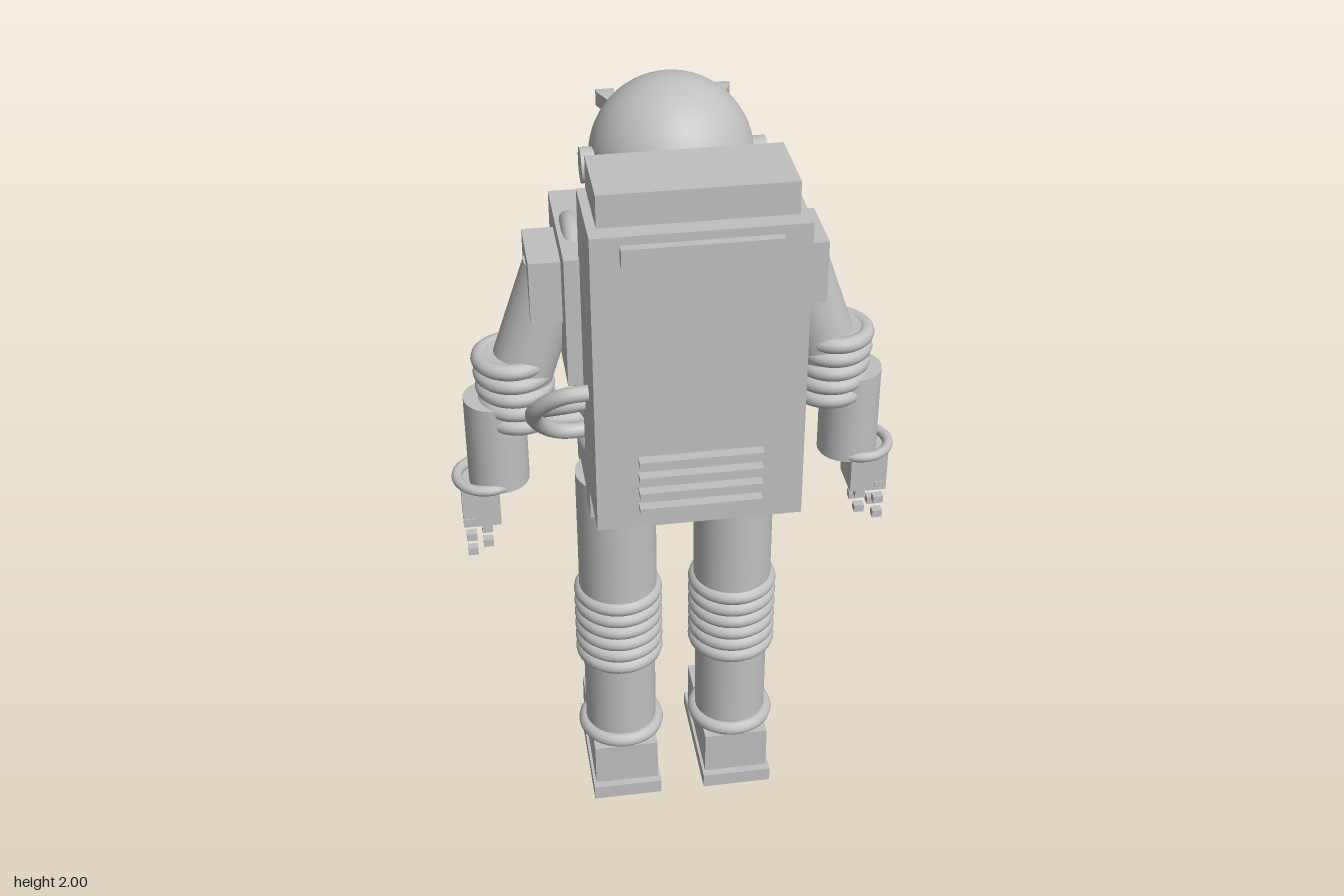
import * as THREE from 'three';

const grey = new THREE.MeshStandardMaterial({ color: 0xc0c0c0 });
grey.name = 'suit grey';

export function createModel() {
  const model = new THREE.Group();
  model.name = 'astronaut';

  const add = (parent, name, geometry, x = 0, y = 0, z = 0) => {
    const mesh = new THREE.Mesh(geometry, grey);
    mesh.name = name;
    mesh.position.set(x, y, z);
    parent.add(mesh);
    return mesh;
  };
  // Box given by its lower and upper limits on each axis
  const box = (parent, name, x0, x1, y0, y1, z0, z1) =>
    add(parent, name, new THREE.BoxGeometry(x1 - x0, y1 - y0, z1 - z0),
      (x0 + x1) / 2, (y0 + y1) / 2, (z0 + z1) / 2);
  // Vertical cylinder between two heights
  const column = (parent, name, r, x, y0, y1, z) =>
    add(parent, name, new THREE.CylinderGeometry(r, r, y1 - y0, 32), x, (y0 + y1) / 2, z);
  // Horizontal ring with a given outer radius
  const ring = (parent, name, outer, tube, x, y, z) => {
    const mesh = add(parent, name, new THREE.TorusGeometry(outer - tube, tube, 12, 40), x, y, z);
    mesh.rotation.x = Math.PI / 2;
    return mesh;
  };
  const group = (name) => {
    const g = new THREE.Group();
    g.name = name;
    model.add(g);
    return g;
  };
  const Z = -0.073; // depth of the limb axes

  // Torso, waist bellows and hips
  const body = group('body');
  box(body, 'chest', -0.27, 0.27, 1.355, 1.677, -0.255, 0.088);
  box(body, 'chestHem', -0.25, 0.25, 1.335, 1.357, -0.24, 0.08);
  column(body, 'waistCore', 0.205, 0, 1.09, 1.345, Z);
  [1.275, 1.222, 1.17, 1.118].forEach((y) => ring(body, 'waistRing', 0.245, 0.026, 0, y, Z));
  box(body, 'hips', -0.228, 0.228, 0.97, 1.1, -0.197, 0.076);

  // Chest control panel
  const panel = group('chestPanel');
  box(panel, 'panelBox', -0.128, 0.128, 1.355, 1.55, -0.314, -0.25);
  box(panel, 'screen', -0.088, 0.088, 1.425, 1.525, -0.322, -0.312);
  box(panel, 'screenInset', -0.07, 0.07, 1.44, 1.51, -0.327, -0.32);
  for (const x of [-0.06, 0.06]) {
    const knob = add(panel, 'knob', new THREE.CylinderGeometry(0.02, 0.02, 0.025, 20), x, 1.388, -0.32);
    knob.rotation.x = Math.PI / 2;
  }

  // Helmet with collar, ear discs and lamps
  const head = group('head');
  add(head, 'helmet', new THREE.SphereGeometry(0.187, 48, 32), 0, 1.813, -0.118);
  ring(head, 'collar', 0.19, 0.022, 0, 1.675, -0.09);
  for (const s of [-1, 1]) {
    const ear = add(head, 'earDisc', new THREE.CylinderGeometry(0.04, 0.04, 0.05, 24), s * 0.184, 1.815, -0.093);
    ear.rotation.z = Math.PI / 2;
    const lamp = add(head, 'lamp', new THREE.BoxGeometry(0.036, 0.034, 0.05), s * 0.127, 1.905, -0.225);
    lamp.rotation.y = -s * 0.4;
    box(head, 'lampRim', s * 0.132 - 0.021, s * 0.132 + 0.021, 1.887, 1.923, -0.252, -0.244);
  }

  // Life support backpack
  const pack = group('backpack');
  box(pack, 'packBody', -0.235, 0.235, 1.1, 1.84, 0.07, 0.304);
  box(pack, 'packTop', -0.215, 0.215, 1.84, 1.915, 0.07, 0.26);
  box(pack, 'packBar', -0.172, 0.172, 1.777, 1.82, 0.304, 0.325);
  box(pack, 'packFoot', -0.15, 0.15, 1.09, 1.1, 0.07, 0.19);
  for (let i = 0; i < 4; i++) {
    const y = 1.285 - i * 0.042;
    box(pack, 'vent', -0.14, 0.14, y - 0.007, y + 0.007, 0.304, 0.33);
  }

  // Air hoses on one side
  const hose = (pts) => add(pack, 'hose', new THREE.TubeGeometry(
    new THREE.CatmullRomCurve3(pts.map((p) => new THREE.Vector3(...p))), 40, 0.019, 12));
  hose([[-0.2, 1.395, 0.185], [-0.29, 1.39, 0.185], [-0.35, 1.33, 0.14],
    [-0.345, 1.26, 0.08], [-0.29, 1.2, 0.035], [-0.2, 1.19, 0.02]]);
  hose([[-0.2, 1.32, 0.1], [-0.28, 1.31, 0.1], [-0.345, 1.27, 0.05],
    [-0.34, 1.22, 0], [-0.27, 1.19, -0.03], [-0.19, 1.19, -0.04]]);

  for (const s of [-1, 1]) {
    const side = s > 0 ? 'left' : 'right';

    // Arm: shoulder, tilted upper arm, elbow bellows, forearm, glove
    const arm = group(side + 'Arm');
    const shoulderRing = add(arm, 'shoulderRing', new THREE.TorusGeometry(0.118, 0.022, 12, 40), s * 0.238, 1.56, Z);
    shoulderRing.rotation.y = Math.PI / 2;
    const pad = box(arm, 'shoulderPad', 0.26, 0.343, 1.48, 1.635, -0.156, 0.014);
    pad.position.x *= s;
    const upper = add(arm, 'upperArm', new THREE.CylinderGeometry(0.074, 0.077, 0.3, 32), s * 0.325, 1.435, Z);
    upper.rotation.z = s * 0.32;
    column(arm, 'elbowCore', 0.076, s * 0.382, 1.19, 1.365, Z);
    for (let i = 0; i < 5; i++) {
      ring(arm, 'elbowRing', 0.095, 0.02, s * (0.388 - i * 0.003), 1.35 - i * 0.038, Z);
    }
    column(arm, 'forearm', 0.074, s * 0.434, 1.01, 1.245, Z);
    ring(arm, 'wristRing', 0.085, 0.013, s * 0.465, 1.02, Z);
    const hand = box(arm, 'hand', 0.438, 0.53, 0.9, 1.01, -0.13, -0.024);
    hand.position.x *= s;
    for (let i = 0; i < 4; i++) {
      const x = s * (i % 2 ? 0.472 : 0.512);
      for (const y of [0.915, 0.87, 0.826]) {
        add(arm, 'fingerSegment', new THREE.BoxGeometry(0.025, 0.02, 0.022), x, y, -0.032 - i * 0.029);
      }
    }

    // Leg: thigh, knee bellows and pad, shin
    const leg = group(side + 'Leg');
    const X = s * 0.149;
    column(leg, 'thigh', 0.1, X, 0.62, 1.0, Z);
    box(leg, 'thighStrip', X - 0.05, X + 0.05, 0.65, 0.98, -0.177, -0.12);
    column(leg, 'shin', 0.094, X, 0.15, 0.64, Z);
    for (let i = 0; i < 6; i++) {
      ring(leg, 'kneeRing', 0.114, 0.02, X, 0.633 - i * 0.0385, Z);
    }
    box(leg, 'kneePadTop', X - 0.08, X + 0.08, 0.58, 0.655, -0.196, -0.145);
    box(leg, 'kneePad', X - 0.083, X + 0.083, 0.49, 0.585, -0.206, -0.145);
    ring(leg, 'ankleRing', 0.114, 0.02, X, 0.182, Z);

    // Boot with toe cap, sole and treads
    const boot = group(side + 'Boot');
    box(boot, 'bootBody', X - 0.084, X + 0.084, 0.045, 0.172, -0.26, 0.037);
    box(boot, 'toeCap', X - 0.074, X + 0.074, 0.035, 0.118, -0.294, -0.25);
    box(boot, 'sole', X - 0.091, X + 0.091, 0.01, 0.05, -0.285, 0.058);
    for (let i = 0; i < 9; i++) {
      const z = 0.01 - i * 0.031;
      box(boot, 'tread', X - 0.08, X + 0.08, 0, 0.012, z - 0.009, z + 0.009);
    }
  }
  return model;
}
